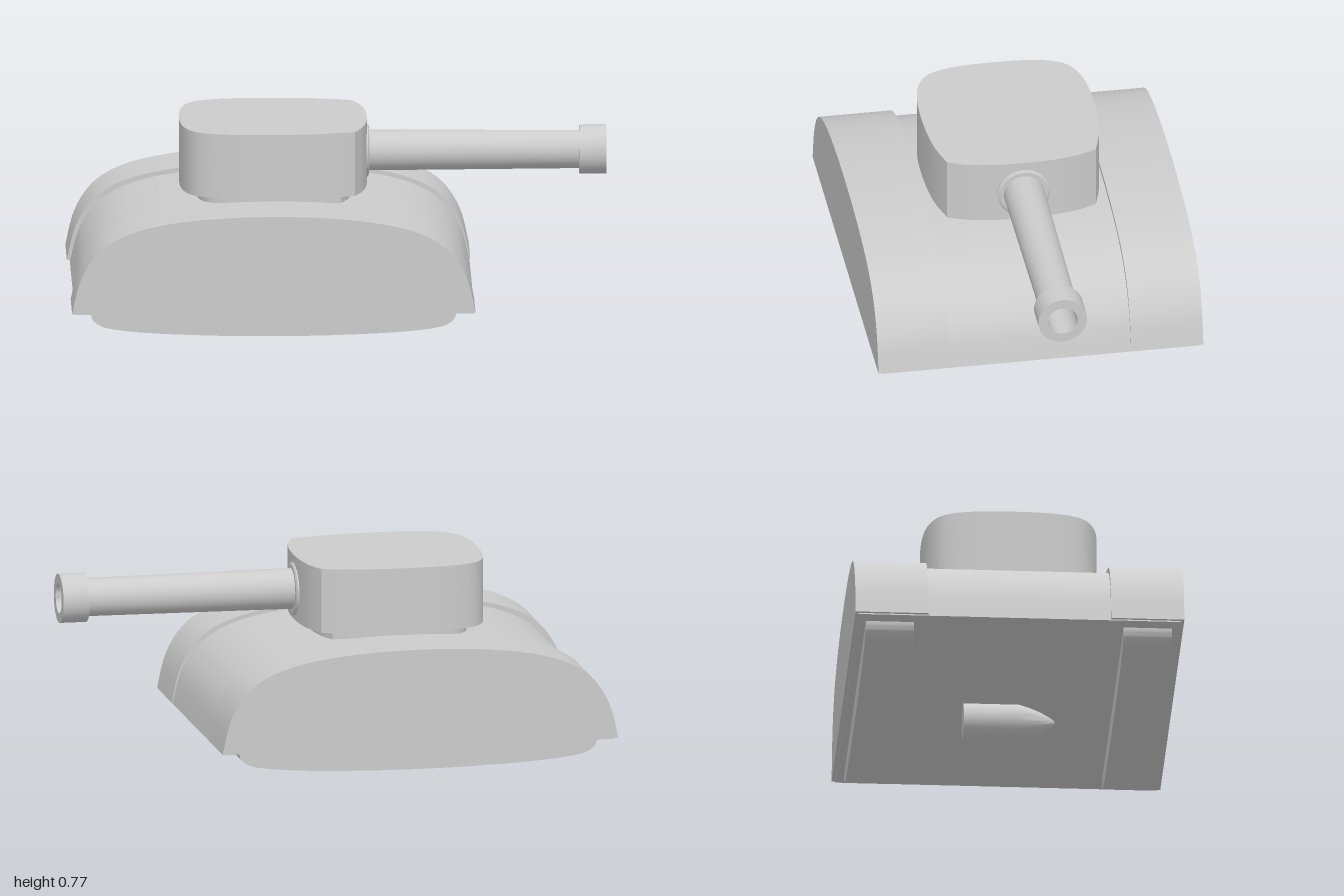
import * as THREE from 'three';
import { toCreasedNormals } from 'three/addons/utils/BufferGeometryUtils.js';

const material = new THREE.MeshStandardMaterial({ color: 0xcccccc });
const MID_X = -0.248; // hull centre line along x

function addMesh(parent, name, geometry) {
  const mesh = new THREE.Mesh(geometry, material);
  mesh.name = name;
  parent.add(mesh);
  return mesh;
}

// Closed outline from a list of smooth runs; corners between runs stay sharp
function outline(...runs) {
  const shape = new THREE.Shape();
  shape.moveTo(...runs[0][0]);
  for (const run of runs) {
    shape.splineThru(run.slice(1).map(([x, y]) => new THREE.Vector2(x, y)));
  }
  shape.closePath();
  return shape;
}

function extrude(shape, depth) {
  const geometry = new THREE.ExtrudeGeometry(shape, { depth, bevelEnabled: false, curveSegments: 4 });
  return toCreasedNormals(geometry, 0.5);
}

// Dome-like profile: half-width/height pairs mirrored about a centre line
function domeShape(half, centreX) {
  const right = half.map(([x, y]) => [centreX + x, y]);
  const left = half.slice(0, -1).reverse().map(([x, y]) => [centreX - x, y]);
  return outline([...right, ...left]);
}

function lathe(points) {
  const profile = points.map(([r, y]) => new THREE.Vector2(r, y));
  return toCreasedNormals(new THREE.LatheGeometry(profile, 40), 0.5);
}

export function createModel() {
  const tank = new THREE.Group();
  tank.name = 'tank';

  // Central hull, running under both fenders
  const hullShape = domeShape([
    [0.743, 0.147], [0.71, 0.27], [0.655, 0.355], [0.585, 0.412],
    [0.485, 0.455], [0.345, 0.483], [0.17, 0.497], [0, 0.502],
  ], MID_X + 0.004);
  addMesh(tank, 'hull', extrude(hullShape, 1.2)).position.z = -0.6;

  // Fenders and the tracks below them
  const fenderShape = domeShape([
    [0.75, 0.152], [0.722, 0.27], [0.672, 0.362], [0.602, 0.424],
    [0.5, 0.468], [0.355, 0.498], [0.17, 0.515], [0, 0.519],
  ], MID_X);
  const trackShape = domeShape([
    [0.68, 0.2], [0.678, 0.135], [0.655, 0.105], [0.6, 0.086],
    [0.45, 0.07], [0.22, 0.06], [0, 0.057],
  ].map(([x, y]) => [-x, y]), MID_X);
  for (const [side, sign] of [['left', 1], ['right', -1]]) {
    addMesh(tank, side + 'Fender', extrude(fenderShape, 0.272)).position.z = sign * 0.476 - 0.136;
    addMesh(tank, side + 'Track', extrude(trackShape, 0.18)).position.z = sign * 0.48 - 0.09;
  }

  // Turret: rounded body with a bowed front plate, standing on a low neck
  const turretShape = outline(
    [[0.06, 0.28], [-0.04, 0.308], [-0.15, 0.322], [-0.26, 0.326], [-0.37, 0.322],
      [-0.46, 0.305], [-0.53, 0.268], [-0.568, 0.2], [-0.585, 0.1], [-0.588, 0],
      [-0.585, -0.1], [-0.568, -0.2], [-0.53, -0.268], [-0.46, -0.305], [-0.37, -0.322],
      [-0.26, -0.326], [-0.15, -0.322], [-0.04, -0.308], [0.06, -0.28]],
    [[0.06, -0.28], [0.09, -0.2], [0.106, -0.1], [0.11, 0], [0.106, 0.1], [0.09, 0.2], [0.06, 0.28]],
  );
  const turret = addMesh(tank, 'turret', extrude(turretShape, 0.243));
  turret.rotation.x = -Math.PI / 2;
  turret.position.y = 0.526;

  const neck = addMesh(tank, 'turretNeck', extrude(turretShape, 0.07));
  neck.rotation.x = -Math.PI / 2;
  neck.scale.set(0.83, 0.86, 1);
  neck.position.set(-0.04, 0.465, 0);

  // Gun, lathed along its axis and laid along +x
  const gun = new THREE.Group();
  gun.name = 'gun';
  gun.rotation.z = -Math.PI / 2;
  gun.position.y = 0.64;
  tank.add(gun);
  addMesh(gun, 'gunCollar', lathe([[0, 0.05], [0.099, 0.05], [0.099, 0.113], [0.09, 0.118], [0, 0.118]]));
  addMesh(gun, 'gunBarrel', lathe([
    [0, 0.08], [0.076, 0.08], [0.071, 0.9], [0.092, 0.9], [0.092, 1],
    [0.056, 1], [0.056, 0.8], [0, 0.8],
  ]));

  // Pointed shell under the hull, tip towards +z
  const shell = addMesh(tank, 'shell', lathe([
    [0, -0.168], [0.066, -0.168], [0.066, 0.04], [0.055, 0.078],
    [0.04, 0.117], [0.02, 0.155], [0.008, 0.171], [0, 0.175],
  ]));
  shell.rotation.x = Math.PI / 2;
  shell.position.set(-0.243, 0.066, 0);

  return tank;
}
